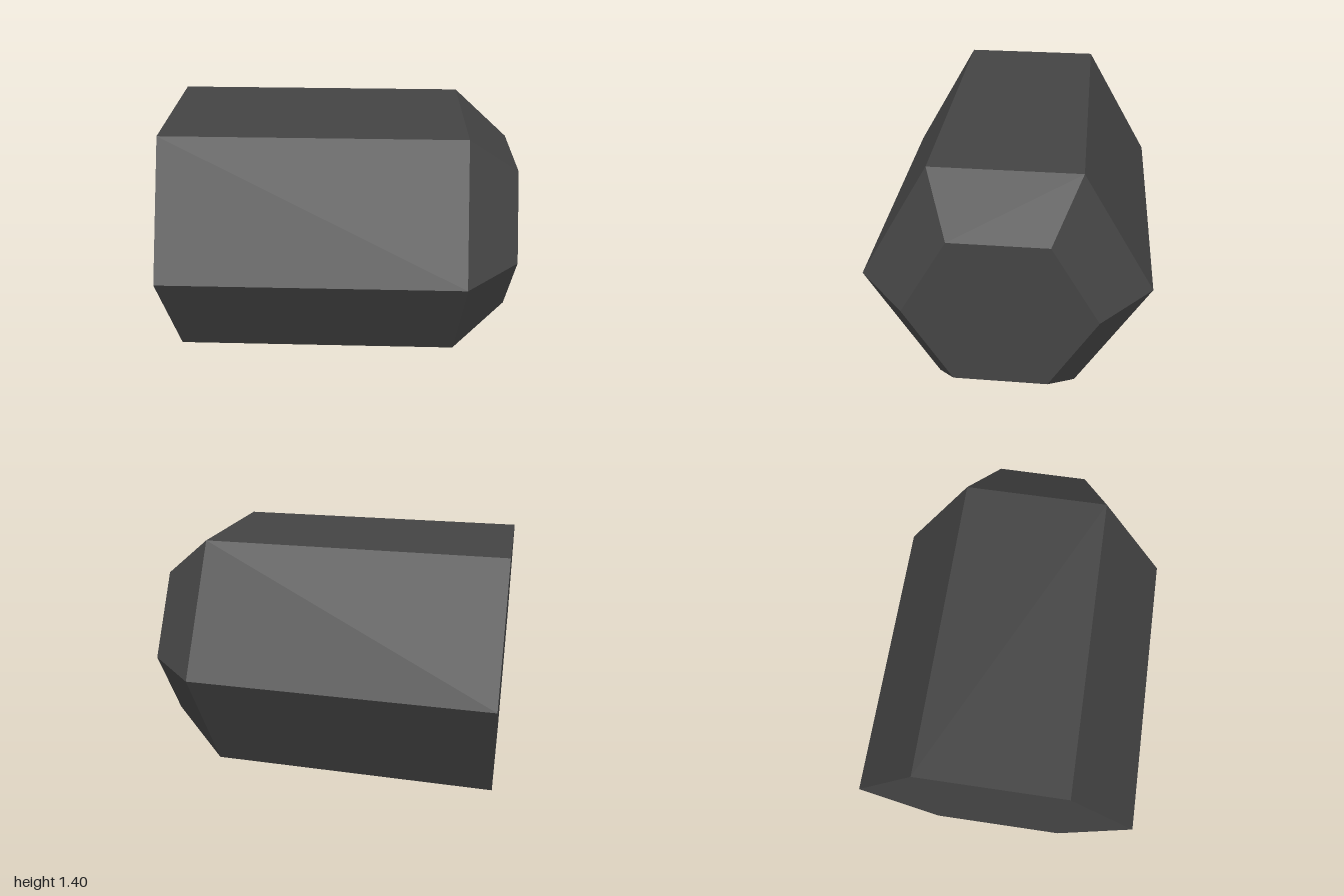
import * as THREE from 'three';

const RADIUS = 0.807; // corner radius of the hexagonal body
const TIP_RADIUS = 0.52; // corner radius of the small end face
const SHOULDER = 0.69; // where the chamfer begins along the length

export function createModel() {
  const group = new THREE.Group();
  group.name = 'hexPrism';

  const charcoal = new THREE.MeshStandardMaterial({ color: 0x444444 });
  charcoal.name = 'charcoal';
  charcoal.flatShading = true;

  // Hexagonal prism with its middle ring moved to the shoulder and its end ring narrowed
  const shaped = new THREE.CylinderGeometry(RADIUS, RADIUS, 2, 6, 2);
  const pos = shaped.attributes.position;
  for (let i = 0; i < pos.count; i++) {
    const y = pos.getY(i);
    if (y > 0.9) {
      const k = TIP_RADIUS / RADIUS;
      pos.setXYZ(i, pos.getX(i) * k, y, pos.getZ(i) * k);
    } else if (y > -0.9) {
      pos.setY(i, SHOULDER);
    }
  }

  // Lay it along x, chamfered end at +x, resting on a flat side
  shaped.rotateZ(-Math.PI / 2);
  shaped.translate(0, RADIUS * Math.cos(Math.PI / 6), 0);
  const geometry = shaped.toNonIndexed();
  geometry.computeVertexNormals();

  const body = new THREE.Mesh(geometry, charcoal);
  body.name = 'chamferedBody';
  group.add(body);
  return group;
}
